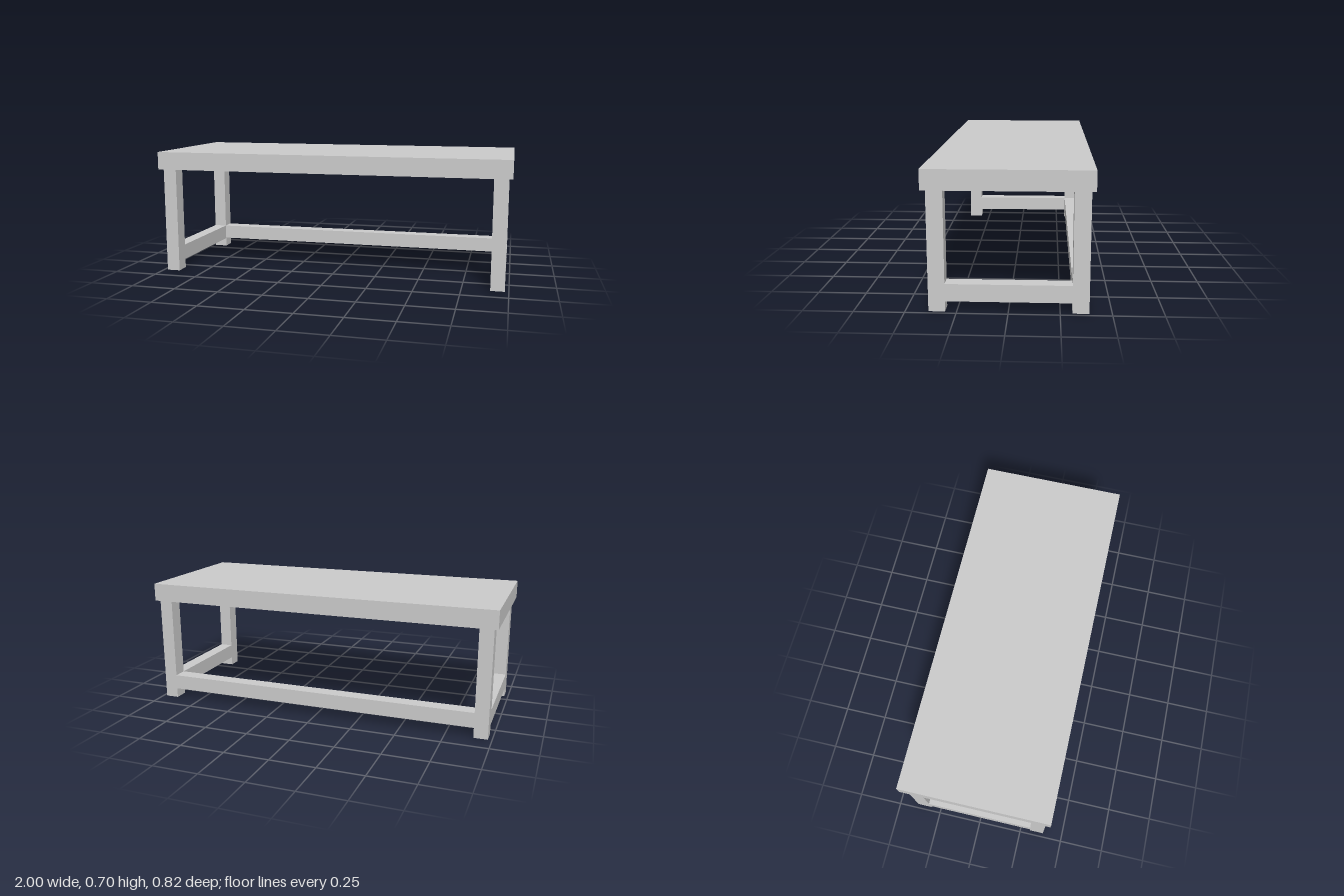
import * as THREE from 'three';

const material = new THREE.MeshStandardMaterial({ color: 0xcccccc, flatShading: true });

// Box given by its [min, max] extents along each axis
function slab(name, [x0, x1], [y0, y1], [z0, z1]) {
  const mesh = new THREE.Mesh(new THREE.BoxGeometry(x1 - x0, y1 - y0, z1 - z0), material);
  mesh.name = name;
  mesh.position.set((x0 + x1) / 2, (y0 + y1) / 2, (z0 + z1) / 2);
  return mesh;
}

export function createModel() {
  const table = new THREE.Group();
  table.name = 'table';

  const legX = { right: [-0.978, -0.902], left: [0.903, 0.979] };
  const legZ = { front: [0.306, 0.387], back: [-0.39, -0.309] };
  const topBottom = 0.602;

  // Thick table top, overhanging the legs
  table.add(slab('tableTop', [-1, 1], [topBottom, 0.703], [-0.41, 0.41]));

  for (const [side, x] of Object.entries(legX)) {
    // Front and back legs
    for (const [end, z] of Object.entries(legZ)) {
      table.add(slab(`${end}Leg_${side}`, x, [0, topBottom], z));
    }
    // Side stretcher, flush with the legs
    table.add(slab(`sideStretcher_${side}`, x, [0.052, 0.14], [legZ.back[1], legZ.front[0]]));
  }

  // Long stretcher between the back legs; the front stays open
  table.add(slab('backStretcher', [legX.right[1], legX.left[0]], [0.056, 0.14], legZ.back));

  return table;
}
